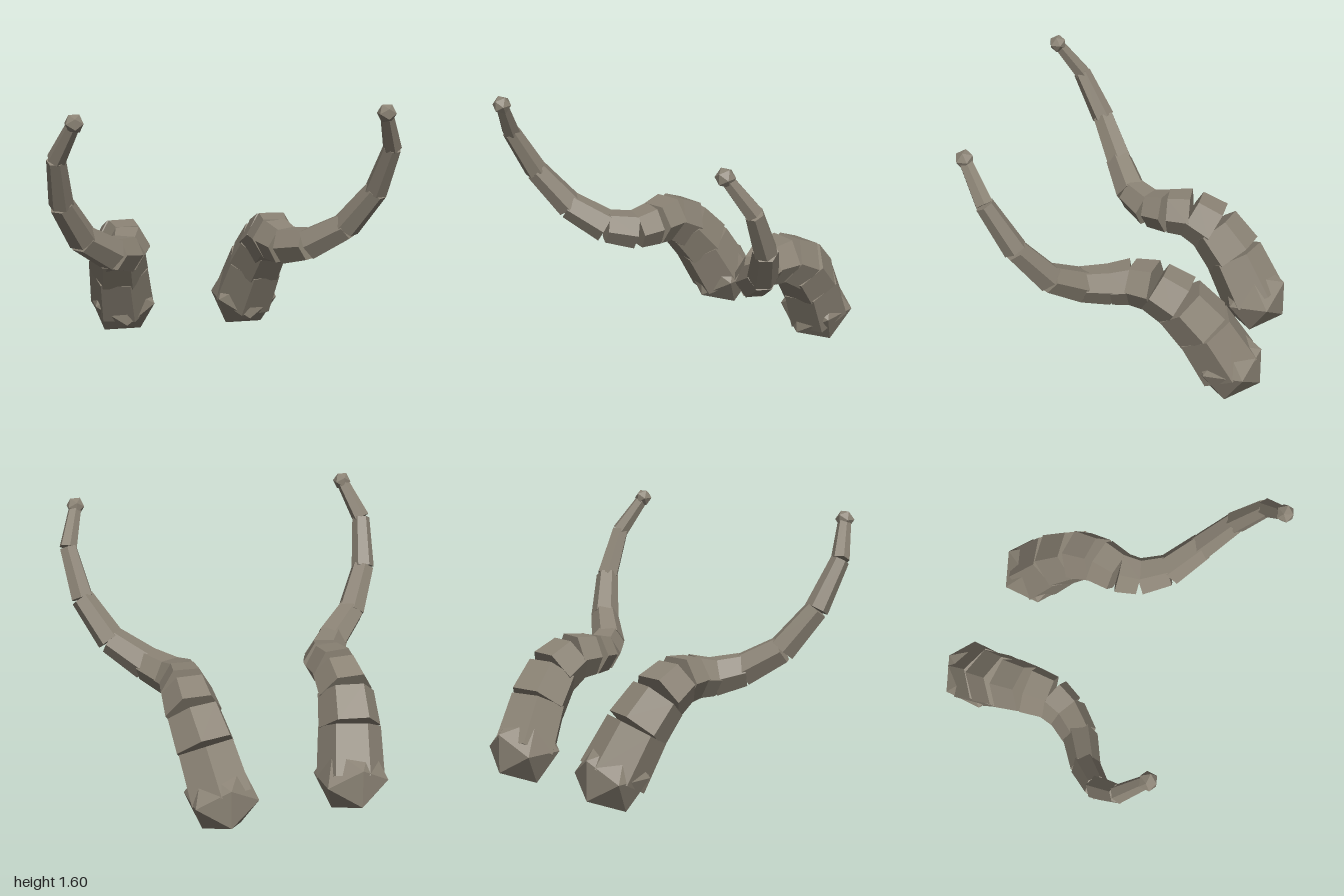
import * as THREE from 'three';

export function createModel() {
  const model = new THREE.Group();
  model.name = 'hornPair';
  const horn = new THREE.MeshStandardMaterial({ color: 0x8b8375 });
  horn.name = 'weathered horn';

  // Joints of the left horn, from the root to the tip
  const joints = [
    [0.395, 0.175, -0.625], [0.44, 0.435, -0.48], [0.467, 0.595, -0.345],
    [0.465, 0.675, -0.2], [0.45, 0.677, -0.06], [0.485, 0.663, 0.065],
    [0.59, 0.7, 0.21], [0.772, 0.828, 0.34], [0.905, 1.06, 0.48],
    [0.946, 1.335, 0.628], [0.863, 1.55, 0.758],
  ];
  const radius = (i) => 0.2 - 0.0162 * i;

  function add(group, geometry, name, position) {
    const flat = geometry.index ? geometry.toNonIndexed() : geometry;
    flat.computeVertexNormals();
    const mesh = new THREE.Mesh(flat, horn);
    mesh.name = name;
    mesh.position.copy(position);
    group.add(mesh);
    return mesh;
  }

  function makeHorn(side, name) {
    const group = new THREE.Group();
    group.name = name;
    const path = joints.map(([x, y, z]) => new THREE.Vector3(side * x, y, z));

    // Straight six-sided segments, each tapering towards the tip
    for (let i = 0; i < path.length - 1; i++) {
      const a = path[i], b = path[i + 1];
      const segment = new THREE.CylinderGeometry(radius(i + 1), radius(i), a.distanceTo(b), 6);
      segment.rotateY(Math.PI / 6).rotateX(Math.PI / 2);
      const middle = a.clone().lerp(b, 0.5);
      add(group, segment, 'hornSegment' + (i + 1), middle).lookAt(b);
    }

    // Faceted knobs closing both ends
    add(group, new THREE.IcosahedronGeometry(0.22, 0), 'rootKnob',
      new THREE.Vector3(side * 0.395, 0.187, -0.625));
    add(group, new THREE.IcosahedronGeometry(0.056, 0), 'tipKnob', path[path.length - 1]);
    model.add(group);
  }

  makeHorn(1, 'leftHorn');
  makeHorn(-1, 'rightHorn');
  return model;
}
